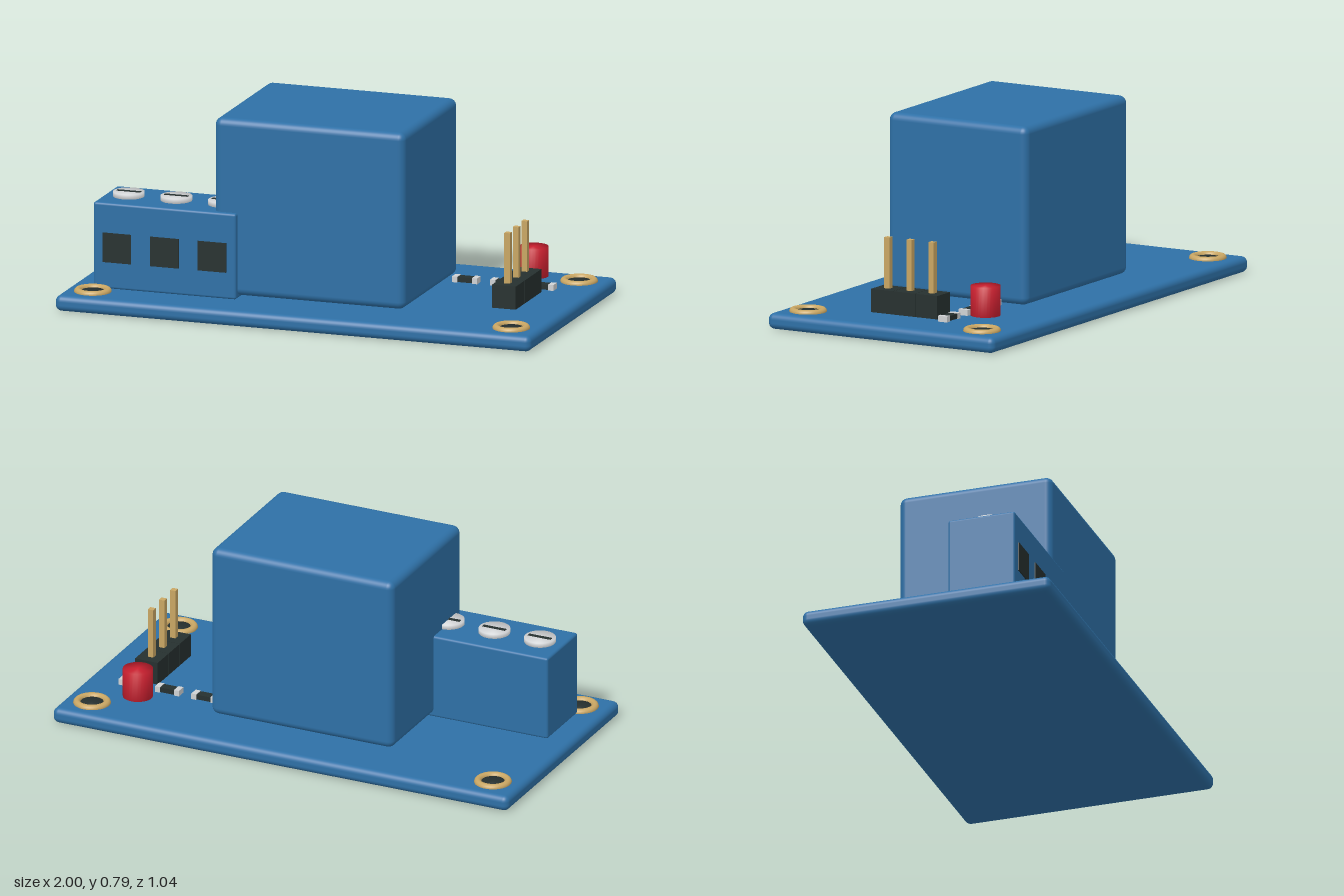
import * as THREE from 'three';
import { mergeVertices } from 'three/addons/utils/BufferGeometryUtils.js';
import { RoundedBoxGeometry } from 'three/addons/geometries/RoundedBoxGeometry.js';

const paint = (name, color) => {
  const m = new THREE.MeshStandardMaterial({ color });
  m.name = name;
  return m;
};

export function createModel() {
  const blue = paint('blue', 0x2e70a6);
  const dark = paint('charcoal', 0x26302f);
  const brass = paint('brass', 0xc9a663);
  const silver = paint('silver', 0xd0d2d4);
  const red = paint('red', 0xcc2030);
  const model = new THREE.Group();
  model.name = 'relayBoard';

  const add = (name, geometry, material, x, y, z, parent = model) => {
    const mesh = new THREE.Mesh(geometry, material);
    mesh.name = name;
    mesh.position.set(x, y, z);
    parent.add(mesh);
    return mesh;
  };
  const group = (name) => {
    const g = new THREE.Group();
    g.name = name;
    model.add(g);
    return g;
  };
  const box = (w, h, d) => new THREE.BoxGeometry(w, h, d);
  // Cylinder with normals blended over its rims
  const softCylinder = (r, h) => {
    const g = new THREE.CylinderGeometry(r, r, h, 32);
    g.deleteAttribute('normal');
    g.deleteAttribute('uv');
    const merged = mergeVertices(g);
    merged.computeVertexNormals();
    return merged;
  };

  // Circuit board and relay housing
  add('board', new RoundedBoxGeometry(2, 0.064, 1.04, 4, 0.025), blue, 0, 0.032, 0);
  add('relay', new RoundedBoxGeometry(0.8, 0.72, 0.64, 4, 0.03), blue, 0, 0.434, 0);

  // Mounting holes with brass rims
  const holes = group('mountingHoles');
  for (const x of [-0.88, 0.88]) {
    for (const z of [-0.4, 0.4]) {
      const rim = add('holeRim', new THREE.TorusGeometry(0.06, 0.015, 12, 40), brass, x, 0.065, z, holes);
      rim.rotation.x = Math.PI / 2;
      add('hole', softCylinder(0.055, 0.02), dark, x, 0.058, z, holes);
    }
  }

  // Screw terminal block
  const terminal = group('screwTerminal');
  add('terminalBody', new RoundedBoxGeometry(0.6, 0.35, 0.28, 3, 0.01), blue, -0.6, 0.238, 0.2, terminal);
  for (const x of [-0.8, -0.6, -0.4]) {
    add('screw', softCylinder(0.063, 0.03), silver, x, 0.417, 0.2, terminal);
    add('screwSlot', box(0.1, 0.006, 0.016), dark, x, 0.431, 0.2, terminal);
    add('wireOpening', box(0.12, 0.12, 0.009), dark, x, 0.232, 0.3405, terminal);
  }

  // Three-pin header
  const header = group('pinHeader');
  for (const z of [-0.102, 0, 0.102]) {
    add('headerBlock', box(0.1, 0.094, 0.1), dark, 0.76, 0.12, z, header);
    add('headerPin', box(0.024, 0.295, 0.024), brass, 0.76, 0.2255, z, header);
  }

  // Indicator light
  add('indicatorLight', softCylinder(0.06, 0.12), red, 0.717, 0.152, -0.32);

  // Surface-mount resistors
  const resistors = group('resistors');
  for (const x of [0.477, 0.637, 0.797]) {
    add('resistorBody', box(0.07, 0.02, 0.038), dark, x, 0.086, -0.2, resistors);
    for (const s of [-1, 1]) {
      add('resistorCap', box(0.022, 0.024, 0.042), silver, x + s * 0.042, 0.086, -0.2, resistors);
    }
  }
  return model;
}
